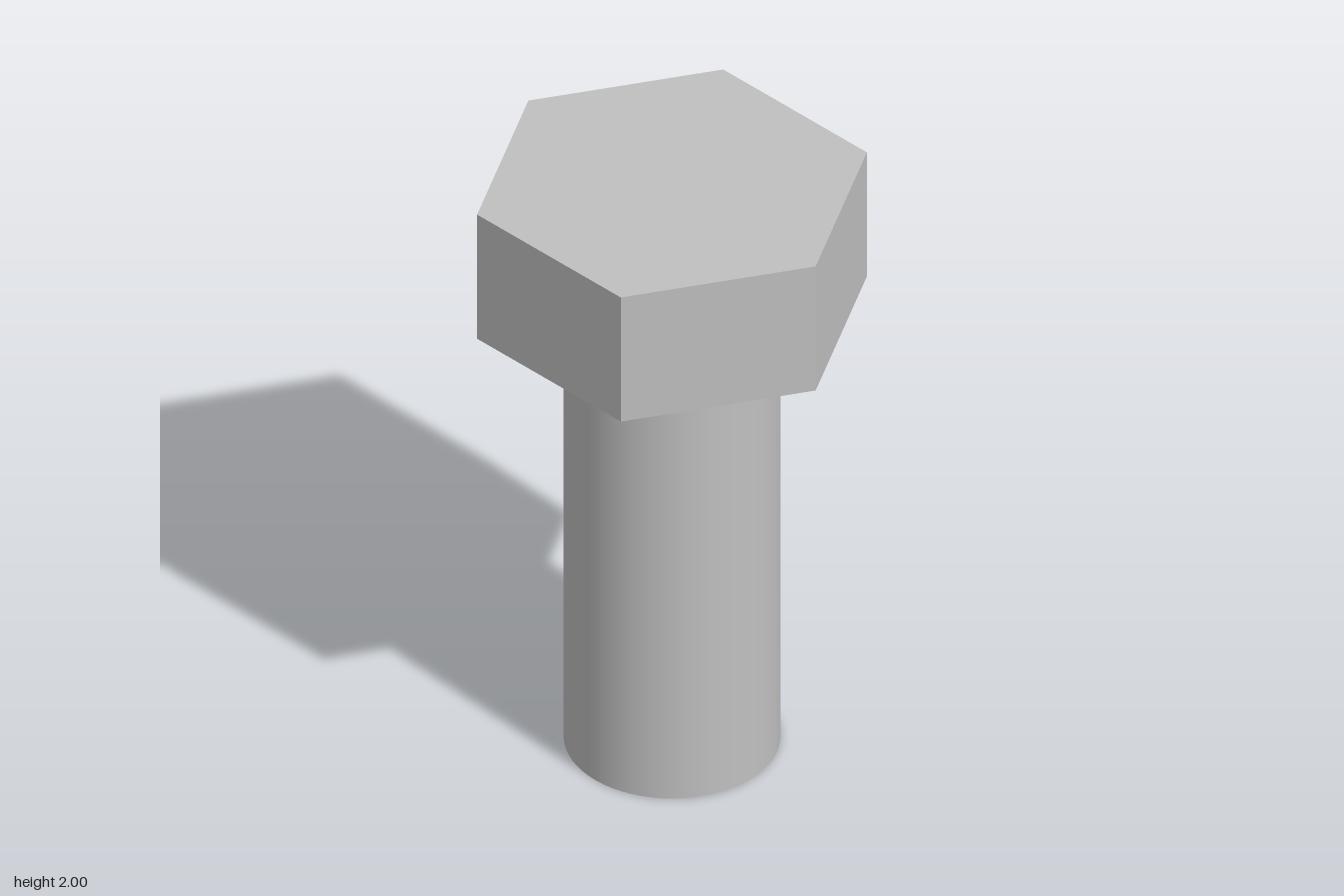
import * as THREE from 'three';

const HEAD_BOTTOM = 1.55;
const TOP = 2;

export function createModel() {
  const bolt = new THREE.Group();
  bolt.name = 'hexBolt';

  const steel = new THREE.MeshStandardMaterial({ color: 0xc0c0c0 });
  steel.name = 'steel grey';
  // Same steel, faceted for the head
  const facetedHead = (geometry) => {
    const flat = geometry.toNonIndexed();
    flat.computeVertexNormals();
    return flat;
  };

  const addPart = (name, geometry, bottom, top) => {
    const mesh = new THREE.Mesh(geometry, steel);
    mesh.name = name;
    mesh.position.y = (bottom + top) / 2;
    bolt.add(mesh);
  };

  // Smooth round shank
  addPart('shank', new THREE.CylinderGeometry(0.32, 0.32, HEAD_BOTTOM, 64), 0, HEAD_BOTTOM);

  // Hexagonal head with corners on the x axis
  const headHeight = TOP - HEAD_BOTTOM;
  const hexagon = new THREE.CylinderGeometry(0.595, 0.595, headHeight, 6, 1, false, Math.PI / 2);
  addPart('head', facetedHead(hexagon), HEAD_BOTTOM, TOP);

  return bolt;
}
